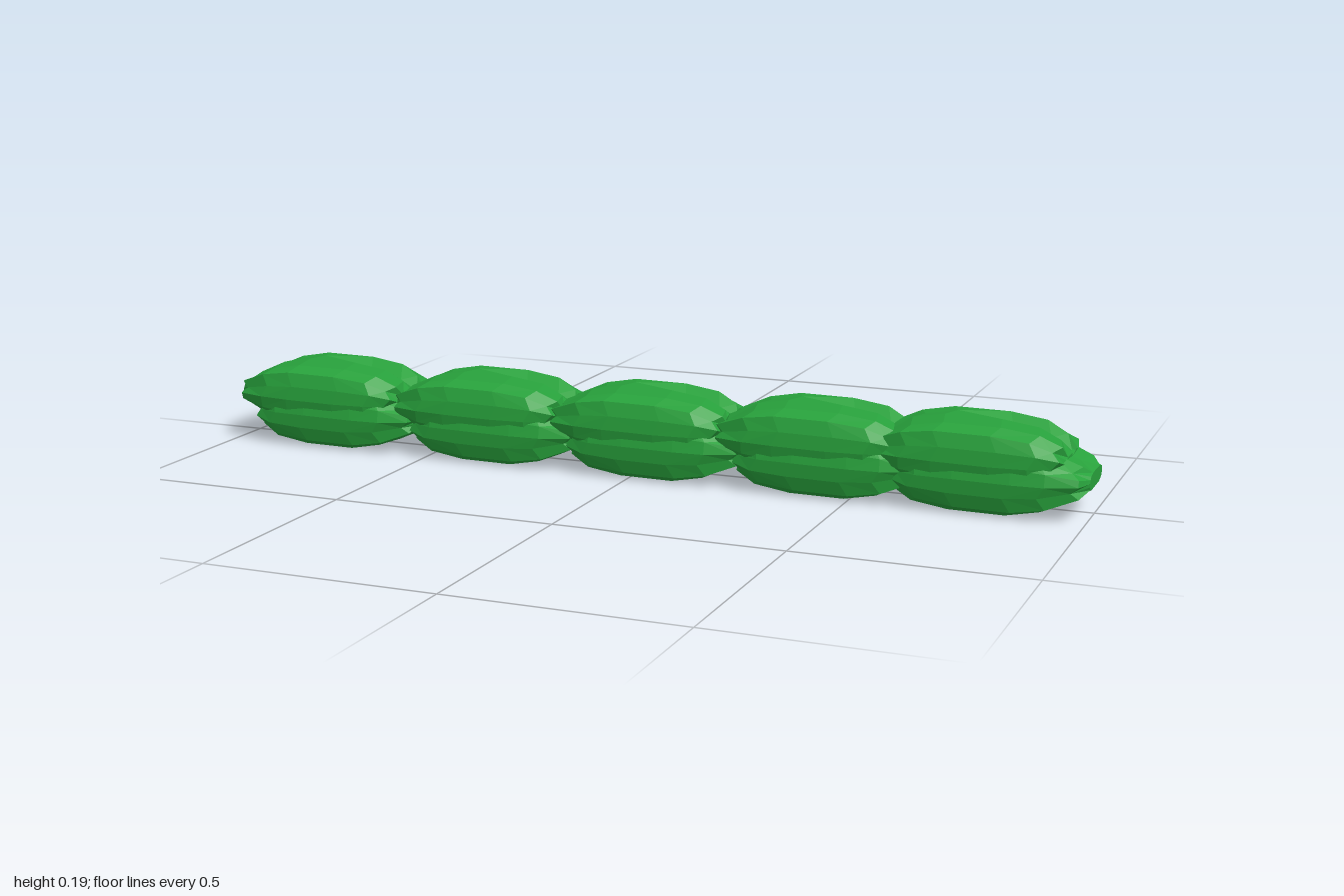
import * as THREE from 'three';

// Cross-section of a lump: [z, height from -1 to 1], from the front over the top to the back
const RING = [
  [0.128, 0.02], [0.125, 0.42], [0.115, 0.82], [0.088, 1], [0.01, 1], [-0.035, 1], [-0.075, 0.98],
  [-0.118, 0.55], [-0.128, 0], [-0.118, -0.6], [-0.075, -0.93], [0, -1], [0.07, -0.98], [0.108, -0.75], [0.122, -0.4],
];

// Stations along a lump: [x, bottom, top, depth scale]
const STATIONS = [
  [0, 0.09, 0.125, 0.5], [0.025, 0.075, 0.143, 0.78], [0.09, 0.047, 0.172, 0.95], [0.16, 0.032, 0.185, 1],
  [0.28, 0.03, 0.184, 1], [0.36, 0.042, 0.173, 0.96], [0.405, 0.065, 0.15, 0.82], [0.42, 0.085, 0.125, 0.55],
];
const LENGTH = 0.42;
const HEIGHT = 0.185;

// Faceted leafy lump, lofted through the stations
function lumpGeometry() {
  const n = RING.length;
  const last = STATIONS.length - 1;
  const positions = [];
  const index = [];
  STATIONS.forEach(([x, bottom, top, depth], i) => {
    RING.forEach(([z, v], j) => {
      const stagger = i > 0 && i < last ? (j % 2 ? 0.008 : -0.008) : 0;
      const notch = j === 5 && i >= 4 ? 0.03 : 0; // dip in the crown near one end
      positions.push(x + stagger, (bottom + top) / 2 + (v * (top - bottom)) / 2 - notch, z * depth);
    });
  });
  for (let i = 0; i < last; i++) {
    for (let j = 0; j < n; j++) {
      const k = (j + 1) % n;
      const a = i * n + j, b = i * n + k, c = a + n, d = b + n;
      if ((i + j) % 2) index.push(a, c, b, b, c, d);
      else index.push(a, c, d, a, d, b);
    }
  }
  // End caps
  for (let j = 1; j < n - 1; j++) {
    index.push(0, j, j + 1);
    index.push(last * n, last * n + j + 1, last * n + j);
  }
  const indexed = new THREE.BufferGeometry();
  indexed.setAttribute('position', new THREE.Float32BufferAttribute(positions, 3));
  indexed.setIndex(index);
  const geometry = indexed.toNonIndexed();
  geometry.computeVertexNormals();
  return geometry;
}

export function createModel() {
  const hedge = new THREE.Group();
  hedge.name = 'hedge';
  const leafGreen = new THREE.MeshStandardMaterial({ color: 0x28a23c });
  leafGreen.name = 'leaf green';
  leafGreen.flatShading = true;

  const upper = lumpGeometry();
  // The lower lump is the upper one turned half round about z
  const lower = upper.clone().rotateZ(Math.PI).translate(LENGTH + 0.05, HEIGHT, 0);

  // Five overlapping bushes in a row
  [-1, -0.595, -0.205, 0.185, 0.53].forEach((x, i) => {
    const bush = new THREE.Group();
    bush.name = `bush${i + 1}`;
    bush.position.x = x;
    for (const [name, geometry] of [['upperFoliage', upper], ['lowerFoliage', lower]]) {
      const mesh = new THREE.Mesh(geometry, leafGreen);
      mesh.name = name;
      bush.add(mesh);
    }
    hedge.add(bush);
  });
  return hedge;
}
